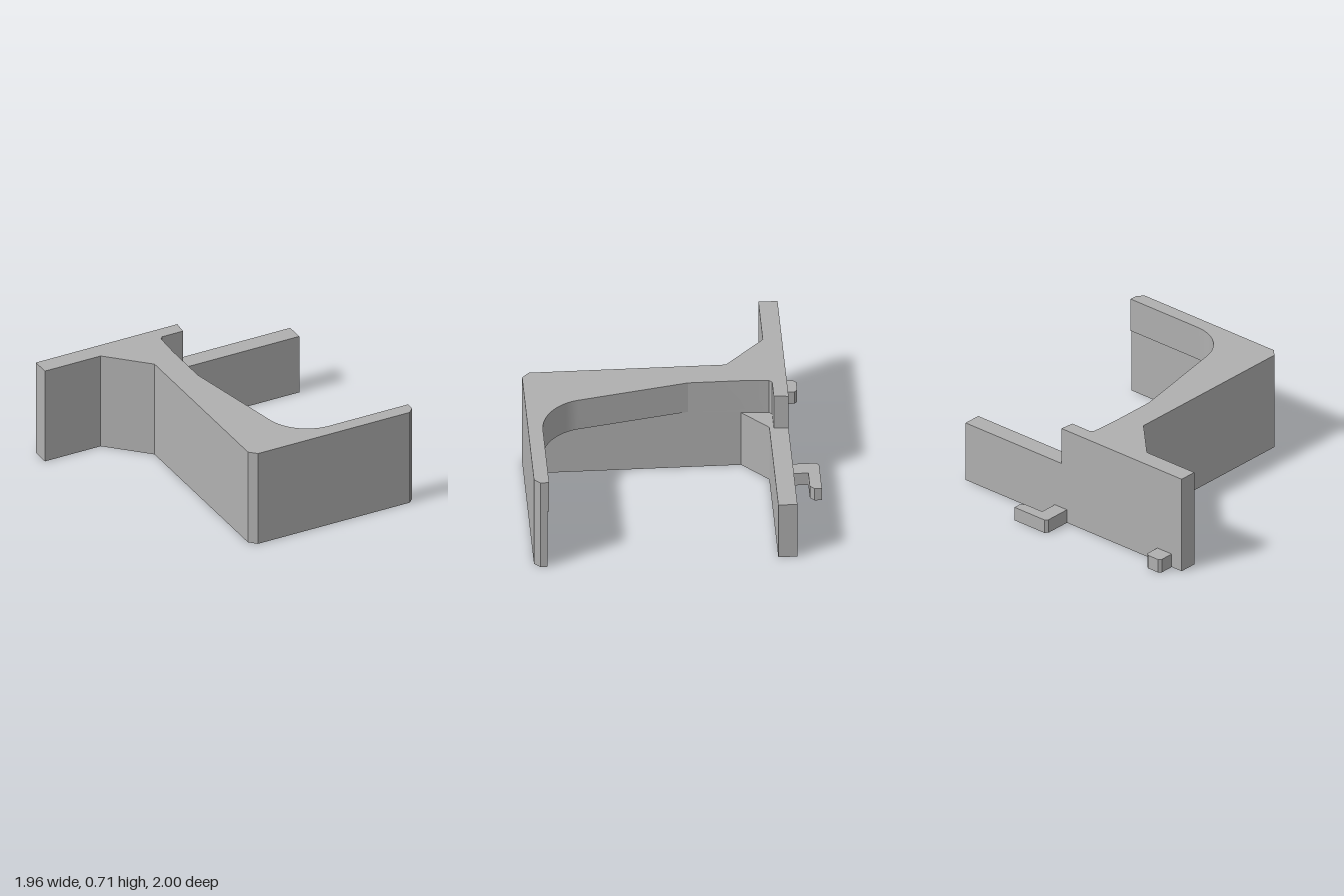
import * as THREE from 'three';
import { toCreasedNormals } from 'three/addons/utils/BufferGeometryUtils.js';

// Plan outlines are [x, z] points
const LEFT_SIDE = [[0.98, 0.96], [0.94, 1], [-0.23, 1], [-0.28, 0.95], [-0.28, -0.39], [-0.55, -0.66], [-0.98, -0.66], [-0.98, -0.79]];

// Back plate: long low arm with gusset, or short raised part
const LONG_BACK = [[0.98, -0.79], [0.98, -0.66], [0.09, -0.66], [-0.09, -0.48]];
const SHORT_BACK = [[0.11, -0.79], [0.1, -0.69], [-0.06, -0.69], [-0.08, -0.67], [-0.09, -0.48]];

// Inside of web and front plate: chamfered corner, or tapered with a large fillet
const CHAMFERED_FRONT = [[-0.09, 0.86], [-0.05, 0.91], [0.98, 0.91]];
const fillet = Array.from({ length: 25 }, (_, i) => {
  const a = THREE.MathUtils.lerp(2.952, Math.PI / 2, i / 24);
  return [0.375 + 0.325 * Math.cos(a), 0.575 + 0.325 * Math.sin(a)];
});
const FILLETED_FRONT = [[-0.09, -0.12], ...fillet, [0.98, 0.9]];

export function createModel() {
  const group = new THREE.Group();
  const grey = new THREE.MeshStandardMaterial({ color: 0xb0b0b0 });
  grey.name = 'grey';

  // Extrudes a plan outline upwards from y0 to y1
  const addSlab = (name, points, y0, y1) => {
    const shape = new THREE.Shape(points.map(([x, z]) => new THREE.Vector2(x, z)));
    const geometry = new THREE.ExtrudeGeometry(shape, { depth: y1 - y0, bevelEnabled: false });
    geometry.rotateX(Math.PI / 2).translate(0, y1, 0);
    const mesh = new THREE.Mesh(toCreasedNormals(geometry, 0.12), grey);
    mesh.name = name;
    group.add(mesh);
  };

  // Bracket body in three heights
  addSlab('lowerBracket', [...LONG_BACK, ...CHAMFERED_FRONT, ...LEFT_SIDE], 0, 0.44);
  addSlab('middleBracket', [...SHORT_BACK, ...CHAMFERED_FRONT, ...LEFT_SIDE], 0.44, 0.465);
  addSlab('upperBracket', [...SHORT_BACK, ...FILLETED_FRONT, ...LEFT_SIDE], 0.465, 0.71);

  // Locating peg and hook behind the back plate
  addSlab('peg', [[-0.89, -0.79], [-0.89, -0.89], [-0.87, -0.91], [-0.78, -0.91], [-0.76, -0.89], [-0.76, -0.79]], 0, 0.1);
  addSlab('hook', [[0.06, -0.79], [0.06, -0.98], [0.08, -1], [0.35, -1], [0.35, -0.95], [0.32, -0.92], [0.17, -0.92], [0.17, -0.79]], 0, 0.1);

  return group;
}
